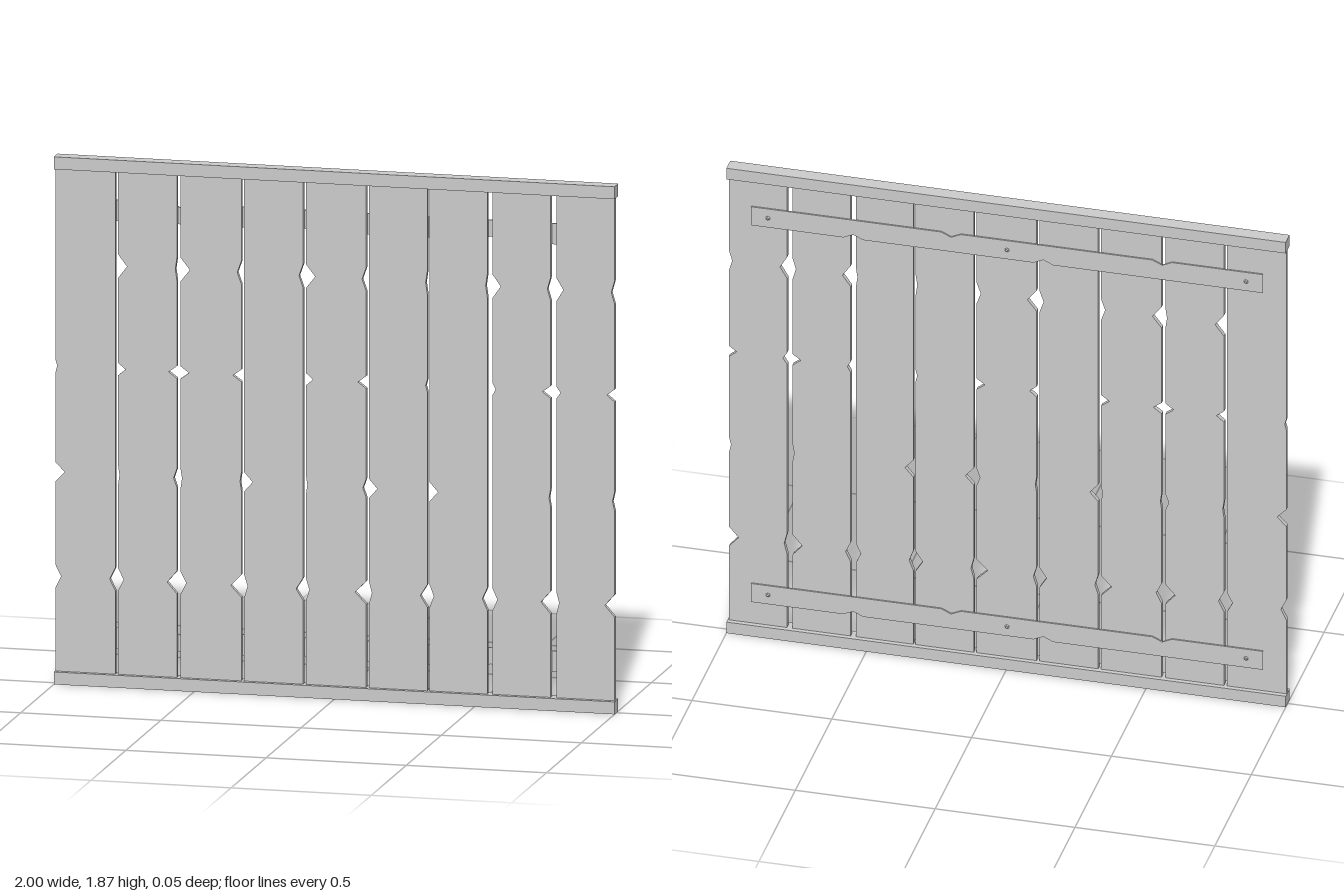
import * as THREE from 'three';

const material = new THREE.MeshStandardMaterial({ color: 0xcccccc, flatShading: true });

// Plank left and right edges
const planks = [
  [-0.998, -0.785], [-0.775, -0.565], [-0.552, -0.335], [-0.325, -0.115], [-0.105, 0.11],
  [0.12, 0.328], [0.336, 0.542], [0.56, 0.768], [0.788, 0.996],
];

// Rows of chips: height, half height, then depth into each plank's left and right edge
const chips = [
  { y: 0.38, h: 0.04,
    left: [0.02, 0.02, 0.02, 0.012, 0.012, 0.01, 0.015, 0.018, 0.01],
    right: [0.02, 0.035, 0.038, 0.025, 0.04, 0.025, 0.018, 0.035, 0.035] },
  { y: 0.75, h: 0.034,
    left: [0.033, 0.005, 0.005, 0.03, 0.005, 0.03, 0.03, 0, 0],
    right: [0, 0.012, 0.005, 0, 0.012, 0, 0, 0.006, 0.008] },
  { y: 1.125, h: 0.022,
    left: [0.006, 0.027, 0.03, 0, 0.025, 0, 0, 0.012, 0.015],
    right: [0, 0.03, 0.03, 0, 0.03, 0.006, 0, 0.03, 0.028] },
  { y: 1.49, h: 0.042,
    left: [0, 0.032, 0.033, 0, 0.033, 0, 0, 0.03, 0.025],
    right: [0, 0.006, 0.015, 0.015, 0.015, 0.006, 0.006, 0.012, 0.012] },
];

function add(parent, name, geometry, x = 0, y = 0, z = 0) {
  const mesh = new THREE.Mesh(geometry, material);
  mesh.name = name;
  mesh.position.set(x, y, z);
  parent.add(mesh);
  return mesh;
}

// Outline extruded along z
function slab(points, depth) {
  const shape = new THREE.Shape(points.map(([x, y]) => new THREE.Vector2(x, y)));
  return new THREE.ExtrudeGeometry(shape, { depth, bevelEnabled: false });
}

// Board with V-shaped chips in both long edges
function plankGeometry([x0, x1], i) {
  const rightEdge = [[x1, 0.03]], leftEdge = [[x0, 0.03]];
  for (const { y, h, left, right } of chips) {
    if (right[i]) rightEdge.push([x1, y - h], [x1 - right[i], y], [x1, y + h]);
    if (left[i]) leftEdge.push([x0, y - h], [x0 + left[i], y], [x0, y + h]);
  }
  rightEdge.push([x1, 1.84]);
  leftEdge.push([x0, 1.84]);
  return slab([...rightEdge, ...leftEdge.reverse()], 0.018);
}

// Cross strip with two chips above and two below
function battenGeometry() {
  const w = 0.915, h = 0.037, d = 0.016, r = 0.035;
  const points = [[-w, -h]];
  for (const x of [-0.13, 0.55]) points.push([x - r, -h], [x, -h + d], [x + r, -h]);
  points.push([w, -h], [w, h]);
  for (const x of [0.2, -0.555]) points.push([x + r, h], [x, h - d], [x - r, h]);
  points.push([-w, h]);
  return slab(points, 0.006);
}

export function createModel() {
  const model = new THREE.Group();
  model.name = 'woodenFencePanel';

  // Planks
  const boards = new THREE.Group();
  boards.name = 'planks';
  model.add(boards);
  planks.forEach((edges, i) => add(boards, `plank${i + 1}`, plankGeometry(edges, i), 0, 0, -0.009));

  // Top and bottom rails
  const rail = new THREE.BoxGeometry(2, 0.044, 0.053);
  add(model, 'bottomRail', rail, 0, 0.022, 0);
  add(model, 'topRail', rail, 0, 1.847, 0);

  // Battens with nails across the back
  const batten = battenGeometry();
  const nail = new THREE.CylinderGeometry(0.004, 0.009, 0.005, 6).rotateX(-Math.PI / 2);
  for (const [name, y] of [['lowerBatten', 0.168], ['upperBatten', 1.683]]) {
    const group = new THREE.Group();
    group.name = name;
    group.position.y = y;
    model.add(group);
    add(group, 'strip', batten, 0, 0, -0.0145);
    for (const x of [-0.855, 0, 0.855]) add(group, 'nail', nail, x, 0, -0.0165);
  }
  return model;
}
